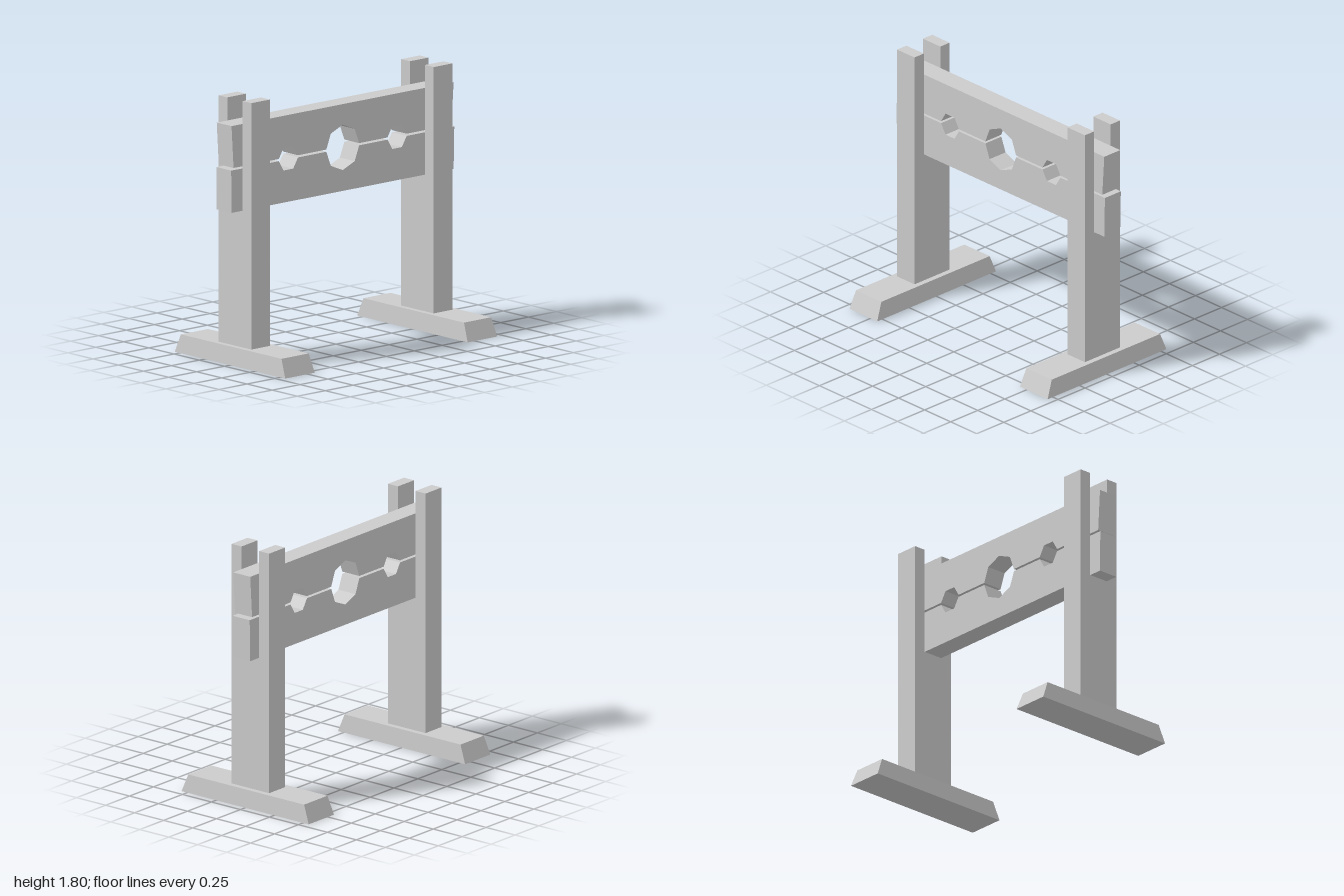
import * as THREE from 'three';

const material = new THREE.MeshStandardMaterial({ color: 0xcccccc, flatShading: true });

function addMesh(parent, name, geometry) {
  const mesh = new THREE.Mesh(geometry, material);
  mesh.name = name;
  parent.add(mesh);
  return mesh;
}

function extrude(points, depth) {
  const shape = new THREE.Shape(points.map(([x, y]) => new THREE.Vector2(x, y)));
  return new THREE.ExtrudeGeometry(shape, { depth, bevelEnabled: false });
}

// Foot beam: a box whose top is drawn in on all four sides
function footGeometry() {
  const height = 0.125;
  const geometry = new THREE.BoxGeometry(0.265, height, 1.096).translate(0, height / 2, 0);
  const p = geometry.attributes.position;
  for (let i = 0; i < p.count; i++) {
    if (p.getY(i) > 0.01) p.setXYZ(i, p.getX(i) * 0.92, height, p.getZ(i) * 0.912);
  }
  geometry.computeVertexNormals();
  return geometry;
}

// Post: side profile (z, y) with an open slot that holds the boards
function postGeometry() {
  const top = 1.805, bottom = 0.125, slot = 1.056;
  const profile = [
    [-0.167, bottom], [0.157, bottom], [0.157, top], [0.071, top],
    [0.071, slot], [-0.081, slot], [-0.081, top], [-0.167, top],
  ];
  const width = 0.167;
  return extrude(profile, width).rotateY(-Math.PI / 2).translate(width / 2, 0, 0);
}

// Board with half of each hole cut into its inner edge.
// dir is +1 for the upper board (holes open downward), -1 for the lower.
function boardGeometry(outerY, innerY, outerLeft, outerRight, innerLeft, innerRight, dir) {
  const mid = 1.353;
  const wristHole = (cx) => [
    [cx - 0.086, innerY], [cx - 0.043, mid + dir * 0.078],
    [cx + 0.043, mid + dir * 0.078], [cx + 0.086, innerY],
  ];
  const neckHole = [
    [-0.147, innerY], [-0.107, mid + dir * 0.11], [0, mid + dir * 0.155],
    [0.107, mid + dir * 0.11], [0.147, innerY],
  ];
  const outline = [
    [innerLeft, innerY], ...wristHole(-0.487), ...neckHole, ...wristHole(0.487),
    [innerRight, innerY], [outerRight, outerY], [outerLeft, outerY],
  ];
  return extrude(outline, 0.147).translate(0, 0, -0.08);
}

export function createModel() {
  const model = new THREE.Group();
  model.name = 'pillory';

  // Two matching supports
  for (const [side, sign] of [['left', 1], ['right', -1]]) {
    const support = new THREE.Group();
    support.name = `${side}Support`;
    support.position.x = sign * 0.818;
    addMesh(support, `${side}Foot`, footGeometry());
    addMesh(support, `${side}Post`, postGeometry());
    model.add(support);
  }

  // Boards with a narrow gap between them
  addMesh(model, 'upperBoard', boardGeometry(1.648, 1.36, -0.997, 0.994, -0.979, 0.975, 1));
  addMesh(model, 'lowerBoard', boardGeometry(1.056, 1.345, -0.997, 0.994, -1, 1, -1));

  return model;
}
